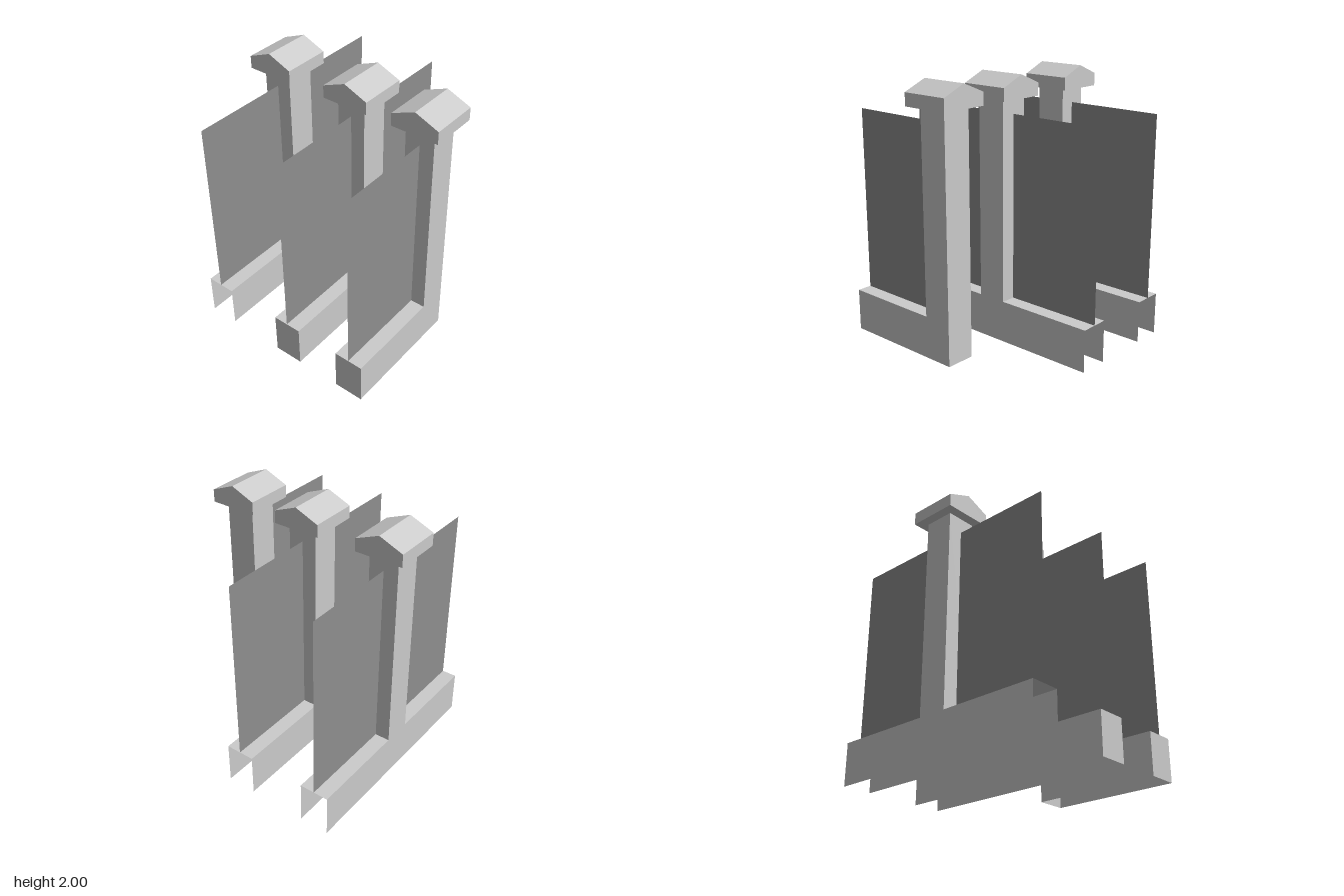
import * as THREE from 'three';

const HALF = 0.87, POST = 0.113, DEPTH = 0.225;
const BASE_TOP = 0.32, POST_TOP = 1.83, PANEL_TOP = 1.715;

const grey = new THREE.MeshStandardMaterial({ color: 0xcccccc, side: THREE.DoubleSide, flatShading: true });
const panelGrey = new THREE.MeshStandardMaterial({ color: 0x8f8f8f, side: THREE.DoubleSide, flatShading: true });

function mesh(name, geometry, material = grey) {
  const m = new THREE.Mesh(geometry, material);
  m.name = name;
  return m;
}

// Strip of flat faces that follows an outline across the depth of the wall
function ribbon(points) {
  const pos = [], h = DEPTH / 2;
  for (let i = 0; i < points.length - 1; i++) {
    const [ax, ay] = points[i], [bx, by] = points[i + 1];
    pos.push(ax, ay, h, bx, by, h, bx, by, -h, ax, ay, h, bx, by, -h, ax, ay, -h);
  }
  const g = new THREE.BufferGeometry();
  g.setAttribute('position', new THREE.Float32BufferAttribute(pos, 3));
  g.computeVertexNormals();
  return g;
}

// Gabled block with its ridge along x
function capGeometry() {
  const w = 0.182;
  const shape = new THREE.Shape([[-w, POST_TOP], [w, POST_TOP], [w, 1.925], [0, 2], [-w, 1.925]]
    .map(([x, y]) => new THREE.Vector2(x, y)));
  const g = new THREE.ExtrudeGeometry(shape, { depth: 0.37, bevelEnabled: false });
  return g.translate(0, 0, -0.185).rotateY(Math.PI / 2);
}

// One section: hollow base and post, cap and thin panels
function section(name, z, { closedEnd = false, rightHalf = true }) {
  const group = new THREE.Group();
  group.name = name;

  const outline = [[-HALF, BASE_TOP], [-POST, BASE_TOP], [-POST, POST_TOP], [POST, POST_TOP]];
  if (closedEnd) outline.unshift([-HALF, 0]);
  if (rightHalf) outline.push([POST, BASE_TOP], [HALF, BASE_TOP]);
  else outline.push([POST, 0]);
  group.add(mesh('baseAndPostEdges', ribbon(outline)));

  // Front and back faces reach the ground, the underside stays open
  const face = new THREE.Shape([[-HALF, 0], ...outline, [rightHalf ? HALF : POST, 0]]
    .filter(([x, y], i, all) => i === 0 || x !== all[i - 1][0] || y !== all[i - 1][1])
    .map(([x, y]) => new THREE.Vector2(x, y)));
  const front = mesh('frontFace', new THREE.ShapeGeometry(face));
  front.position.z = DEPTH / 2;
  const back = mesh('backFace', new THREE.ShapeGeometry(face));
  back.position.z = -DEPTH / 2;
  group.add(front, back, mesh('postCap', capGeometry()));

  for (const side of rightHalf ? [-1, 1] : [-1]) {
    const panel = mesh('panel', new THREE.PlaneGeometry(HALF - POST, PANEL_TOP - BASE_TOP), panelGrey);
    panel.position.set(side * (HALF + POST) / 2, (PANEL_TOP + BASE_TOP) / 2, 0);
    group.add(panel);
  }
  group.position.z = z;
  return group;
}

export function createModel() {
  const model = new THREE.Group();
  model.name = 'wallSections';
  model.add(
    section('cornerSection', 0.617, { closedEnd: true, rightHalf: false }),
    section('endSection', 0.052, { closedEnd: true }),
    section('middleSection', -0.617, {})
  );
  return model;
}
